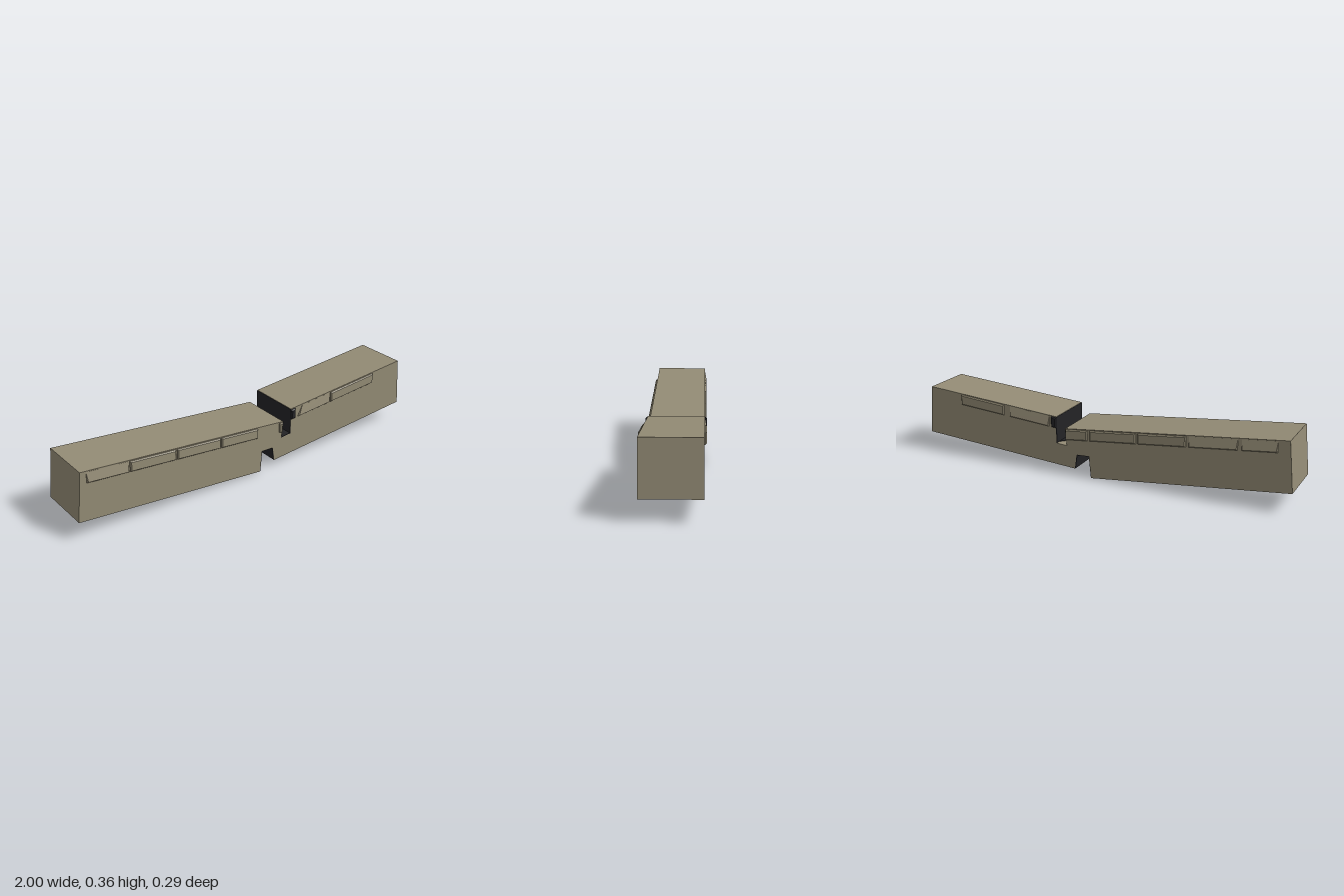
import * as THREE from 'three';
import { ConvexGeometry } from 'three/addons/geometries/ConvexGeometry.js';

const HALF = 0.137; // half the beam's thickness in z

export function createModel() {
  const model = new THREE.Group();
  model.name = 'crackedBeam';
  const wood = new THREE.MeshStandardMaterial({ color: 0x938b75 });
  wood.name = 'weathered wood';
  const dark = new THREE.MeshStandardMaterial({ color: 0x232326 });
  dark.name = 'dark break';

  const add = (name, geometry, material) => {
    const mesh = new THREE.Mesh(geometry, material);
    mesh.name = name;
    model.add(mesh);
    return mesh;
  };

  // Sagging beam with a notch in the top and one in the underside
  const outline = [
    [-1, 0.108], [0.03, 0.003], [0.041, 0.118], [0.11, 0.115], [0.12, 0.039], [1, 0.105],
    [0.98, 0.36], [0.225, 0.3], [0.225, 0.16], [0.165, 0.155], [0.175, 0.245], [-0.975, 0.361],
  ];
  const shape = new THREE.Shape(outline.map(([x, y]) => new THREE.Vector2(x, y)));
  const body = new THREE.ExtrudeGeometry(shape, { depth: HALF * 2, bevelEnabled: false });
  body.translate(0, 0, -HALF);
  add('beam', body, wood);

  // Dark linings on the broken faces
  const lining = (name, x1, y1, x2, y2) => {
    const length = Math.hypot(x2 - x1, y2 - y1);
    const mesh = add(name, new THREE.BoxGeometry(length, 0.003, HALF * 2), dark);
    mesh.position.set((x1 + x2) / 2, (y1 + y2) / 2, 0);
    mesh.rotation.z = Math.atan2(y2 - y1, x2 - x1);
  };
  lining('lowerBreakRightFace', 0.03, 0.005, 0.041, 0.118);
  lining('lowerBreakCeiling', 0.041, 0.118, 0.11, 0.115);
  lining('lowerBreakLeftFace', 0.12, 0.041, 0.11, 0.115);
  lining('upperBreakRightFace', 0.165, 0.156, 0.175, 0.243);
  lining('upperBreakLeftFace', 0.225, 0.16, 0.225, 0.298);

  // Dark shard across the floor of the upper notch
  const shard = [];
  for (const lift of [0, 0.003]) {
    for (const [x, z] of [[0.168, HALF], [0.222, HALF], [0.222, -0.11], [0.168, -0.03]]) {
      shard.push(new THREE.Vector3(x, 0.155 + (x - 0.165) / 12 + lift, z));
    }
  }
  add('upperBreakShard', new ConvexGeometry(shard), dark);

  // Pale splinter on the lower break
  const splinter = [];
  for (const lift of [0, 0.003]) {
    for (const [y, z] of [[0.004, -0.04], [0.004, -0.123], [0.034, -0.123]]) {
      splinter.push(new THREE.Vector3(0.031 + (y - 0.003) * 0.096 + lift, y, z));
    }
  }
  add('lowerBreakSplinter', new ConvexGeometry(splinter), wood);

  // Raised strips under the top edge; a slanted strip fades out towards its top
  const topEdge = (x) => (x < 0.2 ? 0.2625 - 0.1 * x : 0.3 + 0.0795 * (x - 0.225));
  const strip = (name, x1, x2, side, slanted = false, skew = 0, material = wood) => {
    const points = [];
    const inset = 0.005;
    for (const [x, dir] of [[x1, 1], [x2, -1]]) {
      for (const [drop, up] of [[0.004, true], [0.058, false]]) {
        const px = x + (up && dir > 0 ? skew : 0);
        const y = topEdge(x) - drop;
        const rise = slanted && up ? 0.001 : 0.01;
        points.push(new THREE.Vector3(px, y, side * (HALF - 0.004)));
        points.push(new THREE.Vector3(px, y, side * (HALF + rise * 0.4)));
        points.push(new THREE.Vector3(px + dir * inset, y + (up ? -inset : inset), side * (HALF + rise)));
      }
    }
    add(name, new ConvexGeometry(points), material);
  };

  const front = [
    [-0.945, -0.73, true], [-0.724, -0.475], [-0.468, -0.22], [-0.213, 0.01], [0.15, 0.17],
    [0.27, 0.483, true, 0.03], [0.49, 0.788],
  ];
  const back = [
    [-0.92, -0.75, true], [-0.73, -0.49, true], [-0.475, -0.225], [-0.215, 0.035], [0.05, 0.172],
    [0.265, 0.495, true], [0.53, 0.79],
  ];
  front.forEach(([a, b, slanted, skew]) => strip('frontStrip', a, b, 1, slanted, skew));
  back.forEach(([a, b, slanted, skew]) => strip('backStrip', a, b, -1, slanted, skew));
  for (const side of [1, -1]) strip('darkStripEnd', 0.224, 0.252, side, false, 0, dark);

  return model;
}
